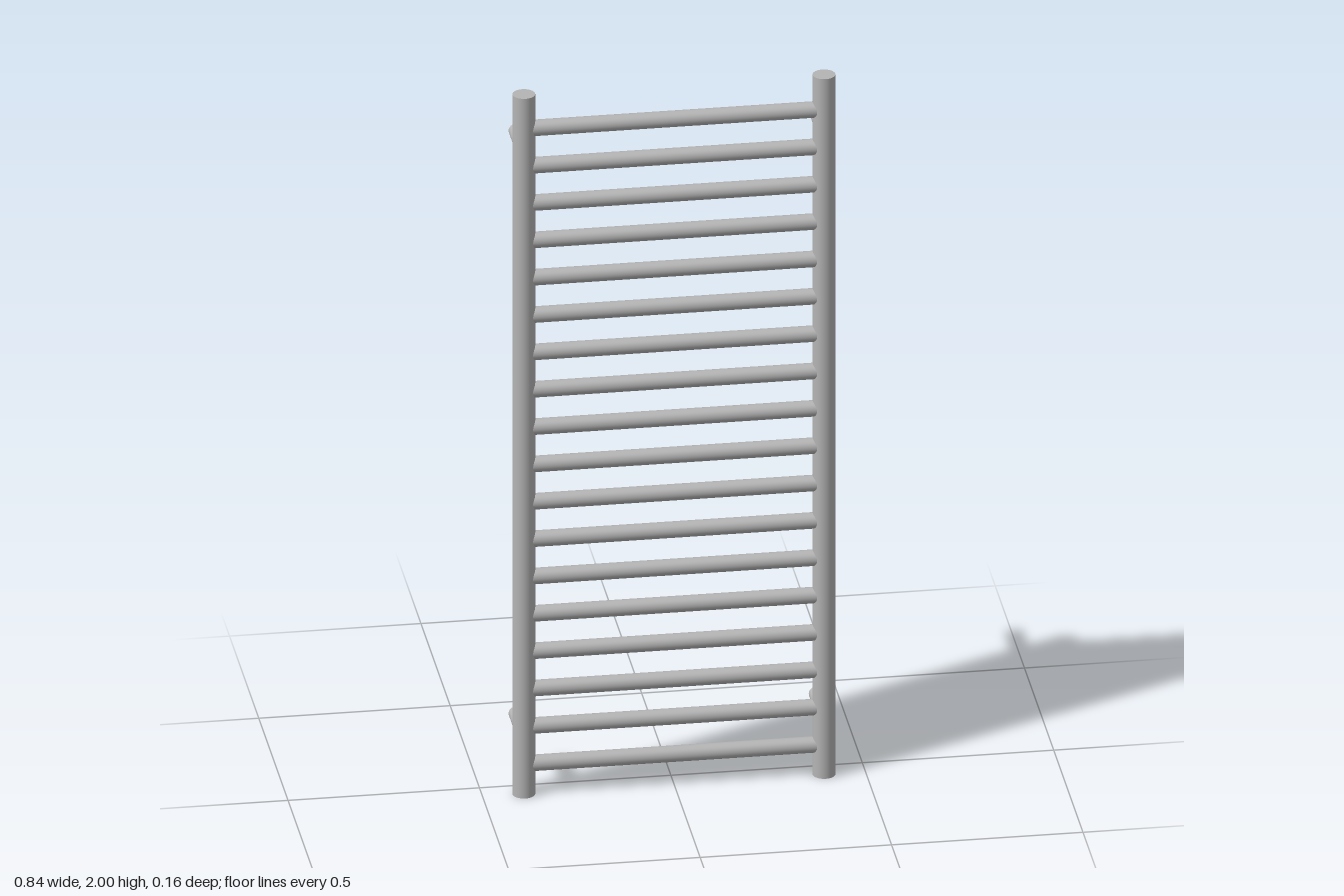
import * as THREE from 'three';

export function createModel() {
  const group = new THREE.Group();
  group.name = 'towelRadiator';
  const steel = new THREE.MeshStandardMaterial({ color: 0xb4b4b4 });
  steel.name = 'brushed steel';

  const postX = 0.392, postZ = 0.052, backZ = -0.0815;

  // Round tube of given radius and length, centred at a point, along one axis
  function tube(name, radius, length, axis, x, y, z) {
    const geometry = new THREE.CylinderGeometry(radius, radius, length, 48);
    if (axis === 'x') geometry.rotateZ(Math.PI / 2);
    if (axis === 'z') geometry.rotateX(Math.PI / 2);
    const mesh = new THREE.Mesh(geometry, steel);
    mesh.name = name;
    mesh.position.set(x, y, z);
    group.add(mesh);
  }

  // Upright posts, each with two wall brackets reaching back
  for (const [side, label] of [[1, 'left'], [-1, 'right']]) {
    tube(label + 'Post', 0.0295, 2, 'y', side * postX, 1, postZ);
    for (const [y, level] of [[0.168, 'Lower'], [1.834, 'Upper']]) {
      tube(label + level + 'Bracket', 0.0195, postZ - backZ, 'z', side * postX, y, (postZ + backZ) / 2);
    }
  }

  // Evenly spaced horizontal rungs, ending inside the posts
  const rungs = 18, firstY = 0.086, lastY = 1.901;
  for (let i = 0; i < rungs; i++) {
    const y = firstY + (lastY - firstY) * i / (rungs - 1);
    tube('rung' + (i + 1), 0.0215, 2 * postX, 'x', 0, y, postZ - 0.001);
  }

  return group;
}
